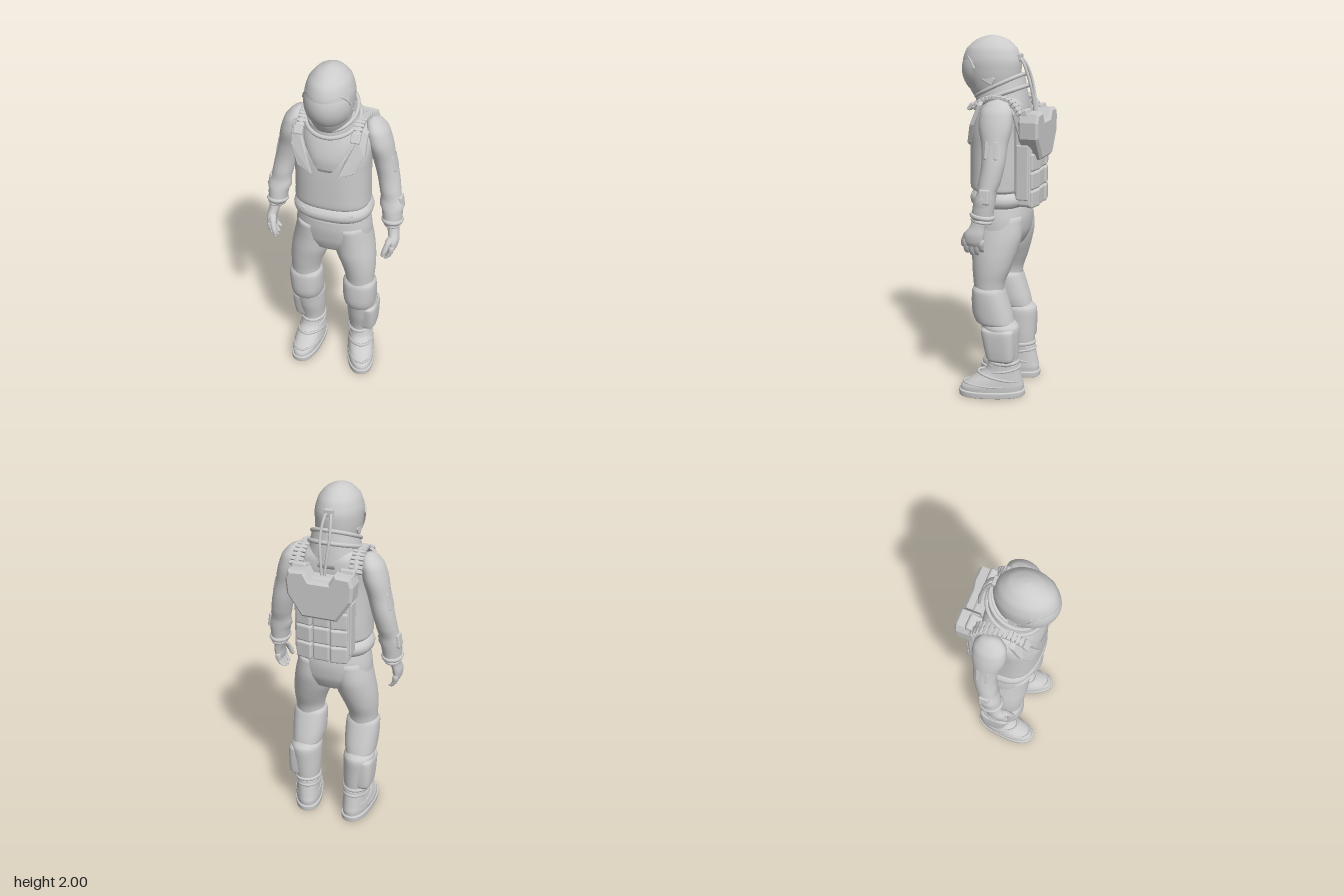
import * as THREE from 'three';
import { RoundedBoxGeometry } from 'three/addons/geometries/RoundedBoxGeometry.js';

const V = (x, y, z) => new THREE.Vector3(x, y, z);
const TAU = Math.PI * 2;

// Point on a rounded-square ellipse; ky slopes the ring from front to back
function ringPoint(c, r, a, p) {
  const f = (v) => Math.sign(v) * Math.abs(v) ** (2 / p);
  const dz = f(Math.sin(a)) * r.y;
  return V(c.x + f(Math.cos(a)) * r.x, c.y + r.z * dz, c.z + dz);
}

// Smooth skin over rings [cx, cy, cz, rx, rz, ky], listed from the bottom up
function loft(rings, { p = 2, n = 32, sub = 4 } = {}) {
  const centres = new THREE.CatmullRomCurve3(rings.map((r) => V(r[0], r[1], r[2])));
  const radii = new THREE.CatmullRomCurve3(rings.map((r) => V(r[3], r[4], r[5] || 0)));
  const rows = (rings.length - 1) * sub;
  const pos = [], idx = [];
  for (let i = 0; i <= rows; i++) {
    const c = centres.getPoint(i / rows), r = radii.getPoint(i / rows);
    for (let j = 0; j < n; j++) pos.push(...ringPoint(c, r, (j / n) * TAU, p).toArray());
  }
  pos.push(...centres.getPoint(0).toArray(), ...centres.getPoint(1).toArray());
  const low = (rows + 1) * n, high = low + 1;
  for (let j = 0; j < n; j++) {
    const k = (j + 1) % n;
    for (let i = 0; i < rows; i++) {
      const a = i * n + j, b = i * n + k;
      idx.push(a, a + n, b, b, a + n, b + n);
    }
    idx.push(low, j, k, high, rows * n + k, rows * n + j);
  }
  const g = new THREE.BufferGeometry();
  g.setAttribute('position', new THREE.Float32BufferAttribute(pos, 3));
  g.setIndex(idx);
  g.computeVertexNormals();
  return g;
}

// Round band following a ring
function hoop([cx, cy, cz, rx, rz, ky = 0], thick, p = 2) {
  const pts = [];
  for (let i = 0; i < 28; i++) pts.push(ringPoint(V(cx, cy, cz), V(rx, rz, ky), (i / 28) * TAU, p));
  return new THREE.TubeGeometry(new THREE.CatmullRomCurve3(pts, true), 56, thick, 8, true);
}

const tube = (pts, r) => new THREE.TubeGeometry(new THREE.CatmullRomCurve3(pts.map((q) => V(...q))), 20, r, 8);

function block(w, h, d, [x, y, z], [rx, ry, rz] = [0, 0, 0], r = 0.006) {
  return new RoundedBoxGeometry(w, h, d, 2, r).rotateX(rx).rotateY(ry).rotateZ(rz).translate(x, y, z);
}

// Tapered finger with a rounded tip
function finger(a, b, c, r) {
  const path = new THREE.CatmullRomCurve3([V(...c), V(...b), V(...a)]);
  const rings = [0, 0.06, 0.3, 0.65, 1].map((t, i) => {
    const q = path.getPoint(t), k = r * [0.35, 0.75, 0.95, 1, 1][i];
    return [q.x, q.y, q.z, k, k];
  });
  return loft(rings, { n: 12, sub: 3 });
}

function plate(points, depth, bevel) {
  const shape = new THREE.Shape(points.map(([x, y]) => new THREE.Vector2(x, y)));
  return new THREE.ExtrudeGeometry(shape, { depth, bevelEnabled: bevel > 0, bevelSize: bevel, bevelThickness: bevel, bevelSegments: 1 });
}

function mirrored(geo) {
  const g = geo.index ? geo.clone() : geo.clone().setIndex([...Array(geo.attributes.position.count).keys()]);
  g.scale(-1, 1, 1);
  const a = g.index.array;
  for (let i = 0; i < a.length; i += 3) [a[i], a[i + 1]] = [a[i + 1], a[i]];
  return g;
}

export function createModel() {
  const model = new THREE.Group();
  model.name = 'spacesuit';
  const grey = new THREE.MeshStandardMaterial({ color: 0xcccccc });
  const flat = new THREE.MeshStandardMaterial({ color: 0xcccccc, flatShading: true });
  const add = (name, geo, mat = grey) => {
    const m = new THREE.Mesh(geo, mat);
    m.name = name;
    model.add(m);
    return m;
  };
  const pair = (name, geo, mat) => {
    add(name + 'Left', geo, mat);
    add(name + 'Right', mirrored(geo), mat);
  };

  // Torso, pelvis and belt
  add('torso', loft([
    [0, 1.165, 0.01, 0.185, 0.13], [0, 1.19, 0.02, 0.207, 0.152], [0, 1.26, 0.02, 0.205, 0.155],
    [0, 1.4, 0.022, 0.205, 0.152], [0, 1.5, 0.02, 0.212, 0.145], [0, 1.58, 0.0, 0.215, 0.132],
    [0, 1.645, -0.012, 0.185, 0.112], [0, 1.69, -0.01, 0.12, 0.09]], { p: 2.5, n: 48 }));
  add('pelvis', loft([
    [0, 0.835, 0.005, 0.06, 0.05], [0, 0.87, 0.005, 0.16, 0.11], [0, 0.94, 0.003, 0.215, 0.142],
    [0, 1.02, 0.005, 0.213, 0.153], [0, 1.1, 0.01, 0.198, 0.148]], { p: 2.2, n: 48 }));
  add('belt', loft([
    [0, 1.088, 0.01, 0.195, 0.138], [0, 1.095, 0.01, 0.204, 0.148],
    [0, 1.165, 0.01, 0.204, 0.148], [0, 1.172, 0.01, 0.195, 0.138]], { p: 2.4, n: 48 }));
  for (let i = 0; i < 14; i++) {
    const a = 0.85 - i * 0.14;
    const q = ringPoint(V(0, 1.13, 0.01), V(0.204, 0.148, 0), a, 2.4);
    pair('beltRib', block(0.016, 0.052, 0.016, q.toArray(), [0, -a, 0], 0.004));
  }
  pair('beltClip', block(0.035, 0.045, 0.02, [0.13, 1.135, 0.14], [0, 0.35, 0]));

  // Chest flaps, bent back towards the sides and shoulders
  const flap = plate([[0.075, 1.415], [0.155, 1.44], [0.196, 1.54], [0.2, 1.645], [0.165, 1.665], [0.155, 1.61], [0.11, 1.52]], 0.02, 0.003);
  const fp = flap.attributes.position;
  for (let i = 0; i < fp.count; i++) {
    const x = fp.getX(i), y = fp.getY(i);
    fp.setZ(i, fp.getZ(i) + 0.183 - 0.3 * x - 0.42 * Math.max(0, y - 1.5));
  }
  flap.computeVertexNormals();
  pair('chestFlap', flap, flat);
  add('chestBib', loft([
    [0, 1.43, 0.03, 0.12, 0.145], [0, 1.5, 0.03, 0.14, 0.147], [0, 1.58, 0.025, 0.16, 0.132],
    [0, 1.65, 0.015, 0.15, 0.115]], { p: 2.5 }));

  // Ribbed shoulder straps
  const strap = new THREE.CatmullRomCurve3([V(0.152, 1.635, 0.125), V(0.15, 1.675, 0.06), V(0.152, 1.685, -0.01), V(0.158, 1.665, -0.09), V(0.162, 1.61, -0.14)]);
  for (let i = 0; i <= 13; i++) {
    const t = i / 13, q = strap.getPoint(t), d = strap.getTangent(t);
    pair('strapRib', block(0.042 + 0.035 * t, 0.022, 0.02, q.toArray(), [Math.atan2(-d.y, d.z), 0, 0], 0.004));
  }
  pair('strap', tube(strap.getPoints(6).map((q) => [q.x, q.y - 0.008, q.z]), 0.018));
  pair('strapBuckle', block(0.05, 0.045, 0.02, [0.152, 1.635, 0.135], [-0.6, 0, 0]));

  // Sloping collar
  const collar = [[0, 1.6, -0.01, 0.165, 0.125, 0], [0, 1.655, 0.01, 0.142, 0.135, -0.3], [0, 1.7, 0.022, 0.134, 0.137, -0.42], [0, 1.735, 0.025, 0.127, 0.132, -0.48]];
  add('collar', loft(collar));
  add('collarRingLower', hoop([0, 1.685, 0.02, 0.14, 0.143, -0.36], 0.012));
  add('collarRingUpper', hoop([0, 1.735, 0.025, 0.127, 0.132, -0.48], 0.011));

  // Helmet, visor and fittings
  add('helmet', loft([
    [0, 1.67, 0.07, 0.085, 0.1], [0, 1.72, 0.065, 0.108, 0.135], [0, 1.79, 0.068, 0.122, 0.155],
    [0, 1.86, 0.072, 0.125, 0.163], [0, 1.93, 0.073, 0.107, 0.14], [0, 1.975, 0.07, 0.068, 0.09],
    [0, 1.995, 0.07, 0.028, 0.038], [0, 2.0, 0.07, 0.004, 0.005]], { n: 40 }));
  const visor = add('visor', new THREE.SphereGeometry(1, 28, 14, 0.12 * Math.PI, 0.76 * Math.PI, 1.02, 1.25)
    .scale(0.13, 0.155, 0.163).translate(0, 1.82, 0.079), new THREE.MeshStandardMaterial({ color: 0xcccccc, side: THREE.DoubleSide }));
  visor.geometry.computeVertexNormals();
  const brow = [];
  for (let i = 0; i <= 12; i++) {
    const u = (0.1 + 0.8 * i / 12) * Math.PI, th = 1.02 + 0.5 * Math.abs(i / 6 - 1) ** 4;
    brow.push([-0.13 * Math.cos(u) * Math.sin(th), 1.82 + 0.155 * Math.cos(th), 0.079 + 0.16 * Math.sin(u) * Math.sin(th)]);
  }
  add('visorRim', tube(brow, 0.006));
  pair('helmetSidePod', block(0.014, 0.045, 0.07, [0.113, 1.775, 0.055], [-0.5, 0, 0.12]));
  add('hoseSocket', block(0.05, 0.04, 0.03, [0, 1.885, -0.082]));
  pair('airHose', tube([[0.012, 1.89, -0.085], [0.02, 1.85, -0.115], [0.026, 1.77, -0.145], [0.018, 1.68, -0.165], [0.008, 1.58, -0.175]], 0.008));

  // Backpack with an angular upper shell and pouches below
  add('packBody', block(0.3, 0.47, 0.1, [0, 1.335, -0.15], [0, 0, 0], 0.02));
  const half = [[0.06, 1.55], [0.09, 1.6], [0.16, 1.595], [0.172, 1.56], [0.165, 1.48], [0.09, 1.37]];
  const outline = [...half, ...half.map(([x, y]) => [-x, y]).reverse()];
  add('packShell', plate(outline, 0.085, 0.014).translate(0, 0, -0.23), flat);
  pair('packShoulder', block(0.085, 0.13, 0.09, [0.132, 1.56, -0.155], [0.3, 0, 0], 0.012));
  for (let row = 0; row < 3; row++)
    for (let col = -1; col <= 1; col++)
      add('packPouch', block(0.094, 0.096, 0.045, [col * 0.097, 1.145 + row * 0.1, -0.193], [0, col * -0.2, 0], 0.012));
  pair('packSidePanel', block(0.02, 0.3, 0.07, [0.15, 1.29, -0.15], [0, 0, 0], 0.008));

  // Arms, pads and cuffs
  pair('arm', loft([
    [0.333, 1.07, 0.01, 0.05, 0.058], [0.327, 1.15, 0.0, 0.058, 0.058], [0.309, 1.25, -0.02, 0.058, 0.058],
    [0.288, 1.35, -0.036, 0.061, 0.062], [0.263, 1.45, -0.035, 0.062, 0.07], [0.238, 1.55, -0.03, 0.067, 0.09],
    [0.22, 1.62, -0.03, 0.06, 0.085], [0.205, 1.665, -0.03, 0.035, 0.055], [0.2, 1.68, -0.03, 0.008, 0.01]]));
  pair('upperArmPad', block(0.025, 0.1, 0.075, [0.316, 1.43, -0.036], [0, 0, 0.22], 0.01));
  pair('forearmPad', block(0.025, 0.08, 0.058, [0.371, 1.195, -0.015], [0, 0, 0.15], 0.01));
  pair('cuff', hoop([0.333, 1.085, 0.008, 0.048, 0.055, 0.15], 0.013));
  pair('cuffEdge', hoop([0.336, 1.06, 0.012, 0.04, 0.05, 0.15], 0.009));

  // Gloved hands
  pair('palm', loft([
    [0.352, 0.925, 0.052, 0.018, 0.042], [0.355, 0.945, 0.05, 0.024, 0.052], [0.356, 0.985, 0.046, 0.028, 0.054],
    [0.346, 1.03, 0.03, 0.031, 0.043], [0.338, 1.08, 0.015, 0.034, 0.042]], { n: 20 }));
  for (let i = 0; i < 4; i++) {
    const z = 0.008 + i * 0.028, tip = 0.862 + [0.022, 0.003, 0, 0.012][i];
    pair('finger', finger([0.354, 0.96, z], [0.348, 0.91, z + 0.004], [0.322, tip, z + 0.006], 0.0145));
  }
  pair('thumb', finger([0.345, 1.01, 0.07], [0.328, 0.96, 0.112], [0.312, 0.905, 0.126], 0.016));

  // Legs with bulging knees and outer shin pads
  pair('thigh', loft([
    [0.163, 0.58, 0.035, 0.08, 0.08], [0.163, 0.67, 0.034, 0.084, 0.088], [0.152, 0.75, 0.024, 0.098, 0.108],
    [0.13, 0.84, 0.014, 0.113, 0.127], [0.114, 0.93, 0.004, 0.112, 0.138], [0.1, 1.04, 0.008, 0.1, 0.14]]));
  pair('knee', loft([
    [0.165, 0.42, -0.015, 0.07, 0.085], [0.165, 0.445, 0.0, 0.088, 0.108], [0.163, 0.49, 0.015, 0.094, 0.112],
    [0.163, 0.56, 0.028, 0.097, 0.103], [0.163, 0.625, 0.037, 0.095, 0.09], [0.163, 0.65, 0.038, 0.078, 0.078]], { p: 2.3 }));
  pair('shin', loft([
    [0.153, 0.18, -0.047, 0.066, 0.08], [0.155, 0.24, -0.046, 0.074, 0.086], [0.16, 0.33, -0.036, 0.084, 0.1],
    [0.165, 0.415, -0.03, 0.09, 0.108], [0.165, 0.45, -0.02, 0.075, 0.09]]));
  pair('shinPad', loft([
    [0.19, 0.225, -0.045, 0.055, 0.07], [0.19, 0.24, -0.045, 0.064, 0.08], [0.192, 0.32, -0.038, 0.068, 0.09],
    [0.192, 0.4, -0.03, 0.067, 0.096], [0.188, 0.418, -0.03, 0.055, 0.086]], { p: 3.5 }));
  pair('ankleRoll', hoop([0.153, 0.205, -0.047, 0.067, 0.081, -0.05], 0.012));

  // Boots, the left one turned further out
  const bootParts = {
    bootSole: loft([[0, 0, 0.02, 0.077, 0.182], [0, 0.004, 0.02, 0.082, 0.187], [0, 0.032, 0.02, 0.084, 0.189], [0, 0.038, 0.02, 0.078, 0.183]], { p: 2.4, n: 40 }),
    bootUpper: loft([
      [0, 0.02, 0.02, 0.077, 0.18], [0, 0.055, 0.018, 0.08, 0.18], [0, 0.09, 0.0, 0.078, 0.155],
      [0, 0.125, -0.025, 0.073, 0.122], [0, 0.16, -0.043, 0.069, 0.096], [0, 0.2, -0.048, 0.068, 0.086]], { p: 2.2, n: 40 }),
    bootInstepStrap: hoop([0, 0.115, -0.025, 0.071, 0.122, 0.22], 0.008),
    bootAnkleStrap: hoop([0, 0.16, -0.043, 0.067, 0.095, -0.15], 0.008),
    bootToeBand: hoop([0, 0.07, 0.012, 0.077, 0.168, 0.05], 0.006),
  };
  for (const [side, x, turn] of [['Left', 0.153, 0.3], ['Right', -0.153, -0.07]]) {
    const boot = new THREE.Group();
    boot.name = 'boot' + side;
    for (const [name, geo] of Object.entries(bootParts)) {
      const m = new THREE.Mesh(geo.clone().translate(0, 0, 0.05), grey);
      m.name = name;
      boot.add(m);
    }
    boot.position.set(x, 0, -0.05);
    boot.rotation.y = turn;
    model.add(boot);
  }
  return model;
}
